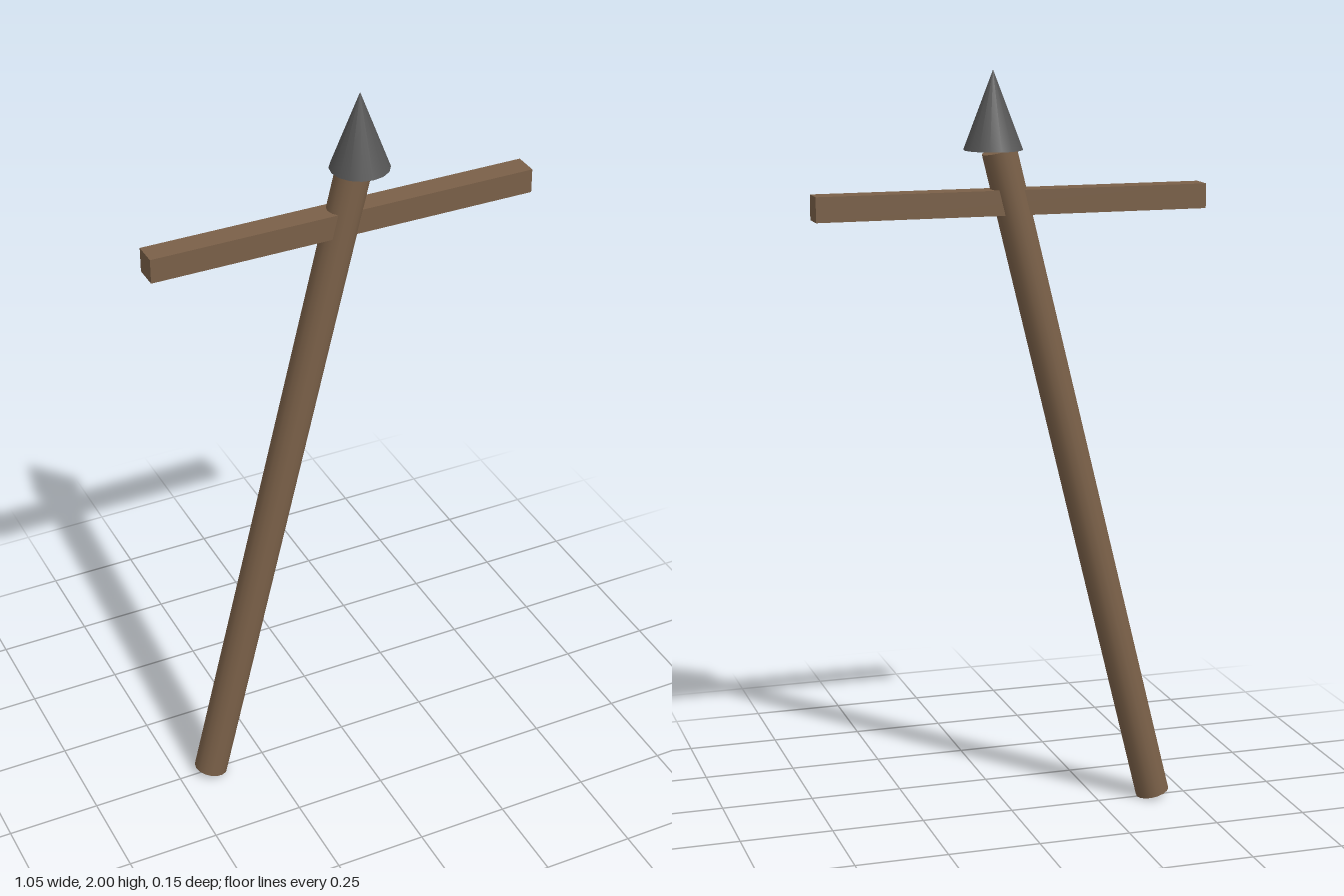
import * as THREE from 'three';

export function createModel() {
  const group = new THREE.Group();
  const wood = new THREE.MeshStandardMaterial({ color: 0x7a6048 });
  wood.name = 'wood';
  const iron = new THREE.MeshStandardMaterial({ color: 0x555555 });
  iron.name = 'iron';

  const add = (name, geometry, material, x, y) => {
    const mesh = new THREE.Mesh(geometry, material);
    mesh.name = name;
    mesh.position.set(x, y, 0);
    group.add(mesh);
    return mesh;
  };

  // Leaning round pole
  const foot = new THREE.Vector2(-0.407, 0.011);
  const head = new THREE.Vector2(0.034, 1.795);
  const middle = foot.clone().add(head).multiplyScalar(0.5);
  const pole = add('pole', new THREE.CylinderGeometry(0.046, 0.046, foot.distanceTo(head), 16), wood, middle.x, middle.y);
  pole.rotation.z = -Math.atan2(head.x - foot.x, head.y - foot.y);

  // Level square crossbar
  add('crossbar', new THREE.BoxGeometry(1.046, 0.065, 0.065), wood, 0, 1.663);

  // Upright pointed tip
  add('tip', new THREE.ConeGeometry(0.077, 0.203, 16), iron, 0.05, 1.8985);

  return group;
}
